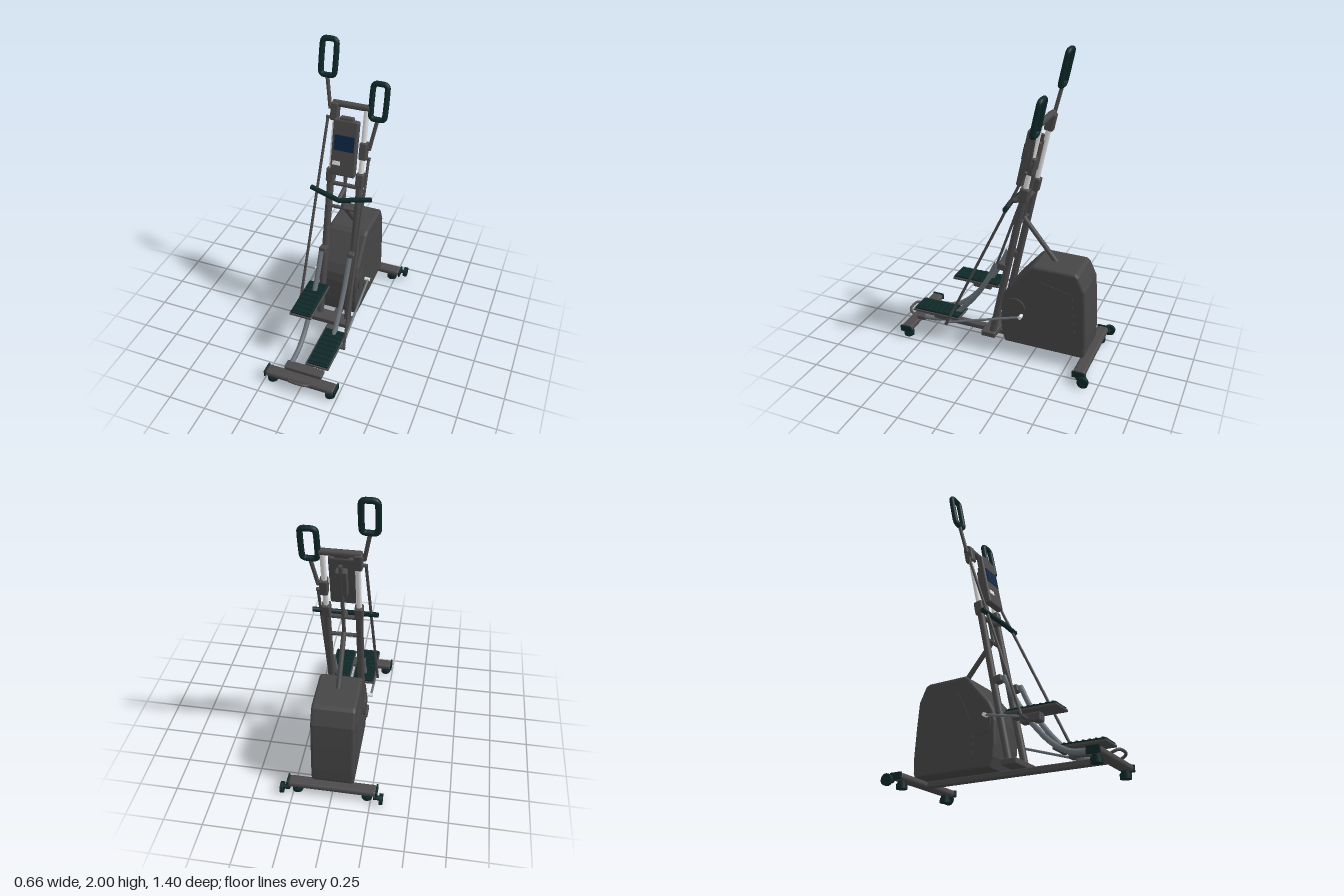
import * as THREE from 'three';
import { RoundedBoxGeometry } from 'three/addons/geometries/RoundedBoxGeometry.js';

const mat = (name, color) => {
  const m = new THREE.MeshStandardMaterial({ color });
  m.name = name;
  return m;
};

export function createModel() {
  const root = new THREE.Group();
  root.name = 'climbingMachine';
  const frame = mat('frameGrey', 0x4b4949);
  const cover = mat('coverGrey', 0x464545);
  const rubber = mat('rubberGreenBlack', 0x0e2728);
  const silver = mat('silver', 0xdedede);
  const steel = mat('steelGrey', 0x687076);
  const navy = mat('screenNavy', 0x0d2745);
  const white = mat('labelWhite', 0xe4e4e4);

  const V = (x, y, z) => new THREE.Vector3(x, y, z);
  const add = (name, geo, m, parent = root) => {
    const mesh = new THREE.Mesh(geo, m);
    mesh.name = name;
    parent.add(mesh);
    return mesh;
  };
  const box = (name, m, size, pos, r = 0.008, parent = root) => {
    const g = r ? new RoundedBoxGeometry(...size, 2, r) : new THREE.BoxGeometry(...size);
    const b = add(name, g, m, parent);
    b.position.set(...pos);
    return b;
  };
  // Cylinder running between two points
  const rod = (name, m, a, b, r, parent = root) => {
    const d = b.clone().sub(a);
    const c = add(name, new THREE.CylinderGeometry(r, r, d.length(), 20), m, parent);
    c.position.copy(a).add(b).multiplyScalar(0.5);
    c.quaternion.setFromUnitVectors(V(0, 1, 0), d.normalize());
    return c;
  };
  const tube = (name, m, pts, r, closed = false, seg = 48, parent = root) =>
    add(name, new THREE.TubeGeometry(new THREE.CatmullRomCurve3(pts, closed, 'centripetal'), seg, r, 12, closed), m, parent);

  // All upright parts lean back along one line
  const SLOPE = -0.209, LEAN = Math.atan(SLOPE);
  const zAt = y => 0.03 + SLOPE * (y - 0.12);
  const onLine = (x, y, off = 0) => V(x, y, zAt(y) + off);
  const leanBox = (name, m, size, x, y, off = 0, r = 0.008) => {
    const b = box(name, m, size, [x, y, zAt(y) + off], r);
    b.rotation.x = LEAN;
    return b;
  };

  // Base
  box('baseRail', frame, [0.05, 0.036, 1.2], [0, 0.064, 0]);
  box('frontBar', frame, [0.48, 0.042, 0.08], [0, 0.066, 0.618], 0.018);
  box('rearBar', frame, [0.57, 0.042, 0.08], [0, 0.066, -0.625], 0.018);
  box('uprightPlate', frame, [0.28, 0.038, 0.1], [0, 0.1, 0.052]);
  box('railPlate', frame, [0.26, 0.03, 0.065], [0, 0.1, 0.562]);
  tube('carryHandle', frame, [V(-0.07, 0.075, 0.63), V(-0.07, 0.09, 0.665), V(-0.05, 0.102, 0.685),
    V(0.05, 0.102, 0.685), V(0.07, 0.09, 0.665), V(0.07, 0.075, 0.63)], 0.009);
  for (const s of [-1, 1]) {
    box('frontCap', rubber, [0.012, 0.046, 0.084], [s * 0.241, 0.066, 0.618], 0.005);
    box('rearCap', rubber, [0.012, 0.046, 0.084], [s * 0.287, 0.066, -0.625], 0.005);
    for (const [x, z] of [[0.2, 0.618], [0.225, -0.625]]) {
      rod('footPad', rubber, V(s * x, 0, z), V(s * x, 0.03, z), 0.034);
      rod('footStem', rubber, V(s * x, 0.03, z), V(s * x, 0.055, z), 0.026);
    }
    rod('transportWheel', rubber, V(s * 0.307, 0.042, -0.665), V(s * 0.33, 0.042, -0.665), 0.036);
    rod('wheelAxle', rubber, V(s * 0.27, 0.045, -0.66), V(s * 0.31, 0.045, -0.66), 0.015);
  }

  // Flywheel cover: side outline extruded across the width
  const sideShape = pts => new THREE.Shape(pts.map(([z, y]) => new THREE.Vector2(-z, y)));
  const across = (pts, w, bevel) => {
    const g = new THREE.ExtrudeGeometry(sideShape(pts), {
      depth: w - 2 * bevel, bevelEnabled: bevel > 0, bevelThickness: bevel,
      bevelSize: bevel, bevelOffset: -bevel, bevelSegments: 3 });
    g.translate(0, 0, -(w - 2 * bevel) / 2);
    return g.rotateY(Math.PI / 2);
  };
  add('flywheelCover', across([[-0.605, 0.08], [-0.07, 0.08], [-0.048, 0.14], [-0.04, 0.22], [-0.042, 0.36],
    [-0.052, 0.425], [-0.085, 0.485], [-0.23, 0.655], [-0.26, 0.676], [-0.53, 0.672], [-0.555, 0.655],
    [-0.6, 0.56], [-0.612, 0.4], [-0.622, 0.2], [-0.618, 0.11]].reverse(), 0.276, 0.018), cover);
  for (const s of [-1, 1]) {
    const panel = add('sidePanel', across([[-0.53, 0.145], [-0.195, 0.145], [-0.19, 0.28], [-0.225, 0.42],
      [-0.31, 0.58], [-0.52, 0.53], [-0.55, 0.22]].reverse(), 0.006, 0), cover);
    panel.position.x = s * 0.138;
    rod('crankDisc', cover, V(s * 0.13, 0.35, -0.14), V(s * 0.147, 0.35, -0.14), 0.074);
  }

  // Uprights, cross members and rear strut
  for (const s of [-1, 1]) {
    const x = s * 0.1;
    rod('lowerUpright', frame, onLine(x, 0.1), onLine(x, 1.12), 0.023);
    rod('upperUpright', silver, onLine(x, 1.1), onLine(x, 1.6), 0.017);
    leanBox('uprightCollar', frame, [0.054, 0.095, 0.06], x, 1.135, 0, 0.012);
    leanBox('railCollar', frame, [0.05, 0.05, 0.06], x, 0.62, 0.035, 0.01);
  }
  rod('topBar', frame, onLine(-0.12, 1.6), onLine(0.12, 1.6), 0.021);
  rod('middleBar', frame, onLine(-0.1, 0.92), onLine(0.1, 0.92), 0.012);
  rod('consoleBar', frame, onLine(-0.1, 1.08), onLine(0.1, 1.08), 0.014);
  rod('consolePost', frame, onLine(0, 0.92), onLine(0, 1.5), 0.012);
  rod('rearStrut', frame, onLine(0, 0.94), V(0, 0.65, -0.38), 0.016);

  // Console
  leanBox('console', frame, [0.165, 0.37, 0.045], -0.003, 1.355, 0.055, 0.012);
  leanBox('consoleTop', frame, [0.09, 0.04, 0.035], -0.002, 1.535, 0.055, 0.008);
  leanBox('consoleMount', frame, [0.07, 0.2, 0.05], 0, 1.36, 0.015);
  leanBox('screen', navy, [0.13, 0.1, 0.006], -0.003, 1.395, 0.08, 0);
  leanBox('label', white, [0.05, 0.026, 0.006], -0.045, 1.262, 0.08, 0);

  // Fixed handlebar
  for (const s of [-1, 1])
    rod('fixedHandlebar', rubber, V(0, 1.032, -0.058), V(s * 0.205, 1.062, -0.098), 0.016);
  const joint = add('handlebarJoint', new THREE.SphereGeometry(0.016, 16, 12), rubber);
  joint.position.set(0, 1.032, -0.058);
  rod('handlebarStem', frame, V(0, 1.035, -0.06), onLine(0, 1.06), 0.014);

  // Moving sides: pedal, slide rail, linkage and hand grip
  const side = ({ s, pedalY, pedalZ, pinY, pinZ, crankY, crankZ, gripY }) => {
    tube('slideRail', steel, [[0.0, 0.635], [0.065, 0.5], [0.13, 0.39], [0.21, 0.285], [0.31, 0.18],
      [0.42, 0.115], [0.54, 0.1]].map(([z, y]) => V(s * 0.1, y, z)), 0.017);

    // Pedal with ribbed tread
    box('pedalTray', frame, [0.152, 0.016, 0.34], [s * 0.1, pedalY - 0.008, pedalZ], 0.005);
    box('pedalTread', rubber, [0.138, 0.016, 0.326], [s * 0.1, pedalY + 0.004, pedalZ], 0.004);
    for (let i = 0; i < 8; i++)
      box('treadRib', rubber, [0.126, 0.008, 0.016], [s * 0.1, pedalY + 0.014, pedalZ - 0.14 + i * 0.04], 0.003);
    box('pedalCarriage', frame, [0.06, 0.055, 0.135], [s * 0.1, pedalY - 0.043, pedalZ - 0.025], 0.01);
    rod('carriagePin', frame, V(s * 0.1, pinY, pinZ), V(s * 0.195, pinY, pinZ), 0.012);

    // Crank link
    rod('crankLink', steel, V(s * 0.172, pinY, pinZ), V(s * 0.172, crankY, crankZ), 0.008);
    rod('crankPin', silver, V(s * 0.14, crankY, crankZ), V(s * 0.184, crankY, crankZ), 0.012);

    // Push rod up to the sliding grip
    const midY = gripY - 0.32;
    rod('pushRod', frame, V(s * 0.186, pinY, pinZ), onLine(s * 0.145, midY - 0.04, 0.012), 0.009);
    leanBox('slider', frame, [0.05, 0.115, 0.058], s * 0.104, midY, 0, 0.01);
    rod('sliderPin', frame, onLine(s * 0.1, midY - 0.04, 0.012), onLine(s * 0.155, midY - 0.04, 0.012), 0.011);
    rod('sliderArm', frame, onLine(s * 0.11, midY + 0.025), onLine(s * 0.142, midY + 0.025), 0.014);
    rod('gripStem', frame, onLine(s * 0.138, midY + 0.01), onLine(s * 0.173, gripY - 0.11), 0.012);

    // Rounded rectangular loop grip
    const pts = [];
    const w = 0.045, h = 0.111, r = 0.024;
    [[1, 1], [-1, 1], [-1, -1], [1, -1]].forEach(([cx, cy], k) => {
      for (let i = 0; i <= 4; i++) {
        const a = (k + i / 4) * Math.PI / 2;
        pts.push(V(cx * (w - r) + r * Math.cos(a), cy * (h - r) + r * Math.sin(a), 0));
      }
    });
    const grip = tube('handGrip', rubber, pts, 0.018, true, 96);
    grip.position.copy(onLine(s * 0.172, gripY));
    grip.rotation.x = LEAN;
  };
  side({ s: -1, pedalY: 0.383, pedalZ: 0.212, pinY: 0.335, pinZ: 0.165, crankY: 0.388, crankZ: -0.09, gripY: 1.87 });
  side({ s: 1, pedalY: 0.196, pedalZ: 0.418, pinY: 0.147, pinZ: 0.335, crankY: 0.312, crankZ: -0.19, gripY: 1.65 });

  return root;
}
